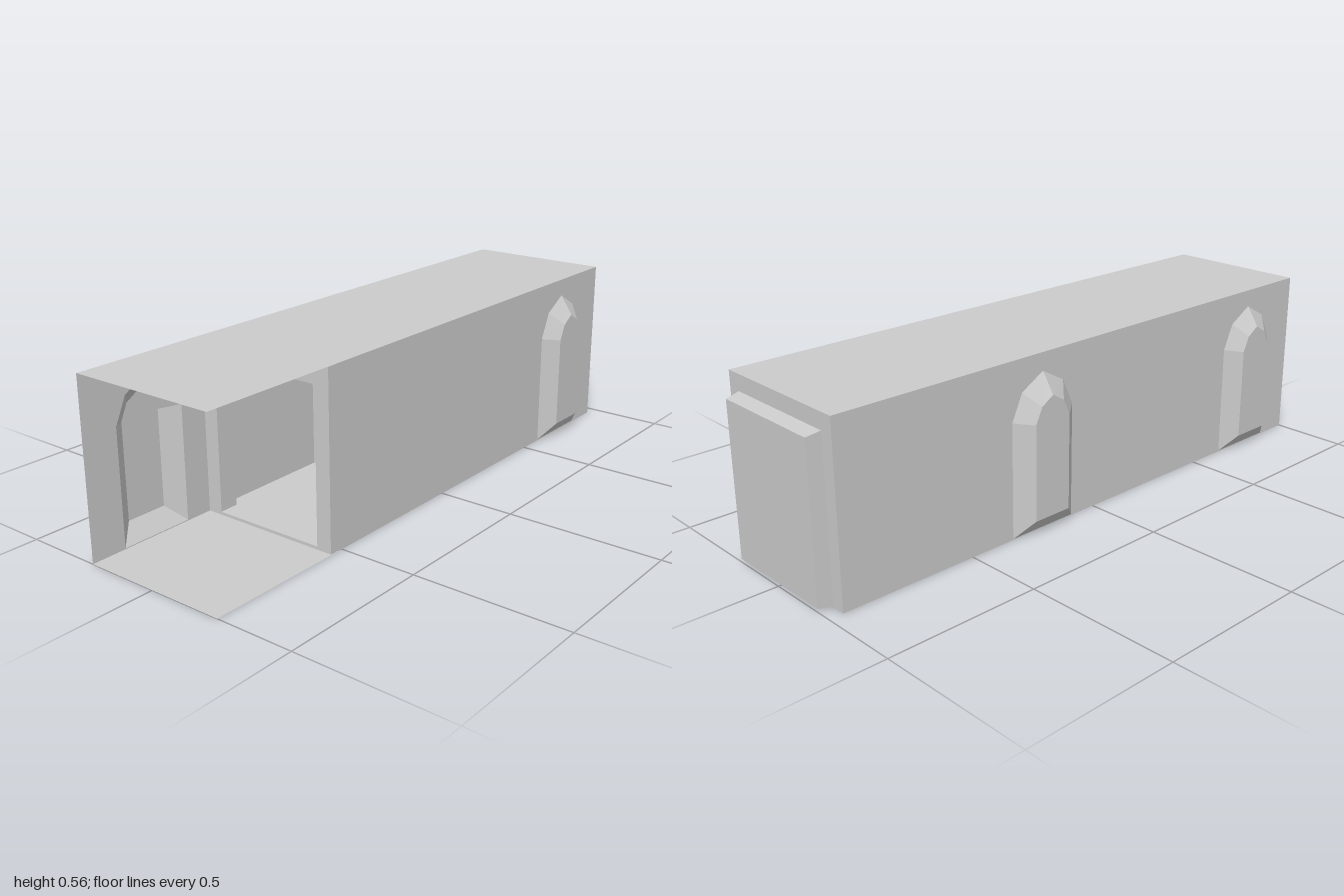
import * as THREE from 'three';

const H = 0.563, HW = 0.245, DEPTH = 0.043;   // height, half width, niche depth
const X0 = -1, X1 = 0.955, BAY = 0.49;        // corridor ends and bay length
const bayStart = i => X1 - BAY * (i + 1);

const material = new THREE.MeshStandardMaterial({ color: 0xcccccc, side: THREE.DoubleSide, flatShading: true });

// Niche outlines, counter-clockwise: at the wall and at the back plate
const nicheRim = [[-0.122, 0.003], [0.122, 0.003], [0.122, 0.375], [0.083, 0.459], [0, 0.506],
  [-0.083, 0.459], [-0.122, 0.375]];
const nichePlate = [[-0.068, 0.057], [0.068, 0.057], [0.068, 0.365], [0.044, 0.416], [0, 0.443],
  [-0.044, 0.416], [-0.068, 0.365]];
const doorRim = [[-0.2, 0.002], [0.2, 0.002], [0.2, 0.511], [-0.2, 0.511]];
const doorPlate = [[-0.193, 0.011], [0.193, 0.011], [0.193, 0.502], [-0.193, 0.502]];

const toPath = (pts, dx = 0) => pts.map(([x, y]) => new THREE.Vector2(x + dx, y));
const rect = (x0, y0, x1, y1) => [[x0, y0], [x1, y0], [x1, y1], [x0, y1]];

// Flat sheet in local xy with cut-outs
function sheet(outline, holes = []) {
  const shape = new THREE.Shape(toPath(outline));
  holes.forEach(h => shape.holes.push(new THREE.Path(h)));
  return new THREE.ShapeGeometry(shape);
}

// Tapered shell from rim (z = 0) to plate (z = depth), open at the rim
function recess(rim, plate, depth) {
  const pos = [];
  const n = rim.length;
  for (let i = 0; i < n; i++) {
    const j = (i + 1) % n;
    const a = [...rim[i], 0], b = [...rim[j], 0], c = [...plate[j], depth], d = [...plate[i], depth];
    pos.push(...a, ...b, ...c, ...a, ...c, ...d);
    if (i > 0 && i < n - 1) pos.push(...plate[0], depth, ...plate[i], depth, ...plate[i + 1], depth);
  }
  const g = new THREE.BufferGeometry();
  g.setAttribute('position', new THREE.Float32BufferAttribute(pos, 3));
  g.computeVertexNormals();
  return g;
}

function add(parent, name, geometry) {
  const mesh = new THREE.Mesh(geometry, material);
  mesh.name = name;
  parent.add(mesh);
  return mesh;
}

// Long wall with arched niches; local +z points outwards
function nicheWall(name, x0, x1, centres) {
  const wall = new THREE.Group();
  wall.name = name;
  add(wall, 'wallPanel', sheet(rect(x0, 0, x1, H), centres.map(c => toPath(nicheRim, c))));
  for (const c of centres) add(wall, 'archedNiche', recess(nicheRim, nichePlate, DEPTH)).position.x = c;
  return wall;
}

export function createModel() {
  const model = new THREE.Group();
  model.name = 'corridor';

  // Floor and ceiling sheets
  const slab = sheet(rect(X0, -HW, X1, HW));
  add(model, 'floor', slab.clone().rotateX(Math.PI / 2));
  add(model, 'ceiling', slab.clone().rotateX(-Math.PI / 2).translate(0, H, 0));

  // Front wall leaves the first bay open
  const front = nicheWall('frontWall', bayStart(2), X1, [bayStart(0) + BAY / 2]);
  front.position.z = HW;

  // Back wall runs the full length
  const back = nicheWall('backWall', -X1, -X0, [1, 3].map(i => -(bayStart(i) + BAY / 2)));
  back.rotation.y = Math.PI;
  back.position.z = -HW;

  // End wall with a shallow blocked doorway
  const end = new THREE.Group();
  end.name = 'endWall';
  add(end, 'endPanel', sheet(rect(-HW, 0, HW, H), [toPath(doorRim)]));
  add(end, 'blockedDoorway', recess(doorRim, doorPlate, 1 - X1));
  end.rotation.y = Math.PI / 2;
  end.position.x = X1;
  model.add(front, back, end);

  // Doorway frames between the bays
  const frameShape = new THREE.Shape(toPath(rect(-HW + 0.001, 0.001, HW - 0.001, H - 0.001)));
  frameShape.holes.push(new THREE.Path(toPath(doorPlate)));
  const frame = new THREE.ExtrudeGeometry(frameShape, { depth: 0.065, bevelEnabled: false })
    .translate(0, 0, -0.0325).rotateY(Math.PI / 2);
  for (let i = 0; i < 3; i++) add(model, 'doorwayFrame', frame).position.x = bayStart(i);

  return model;
}
